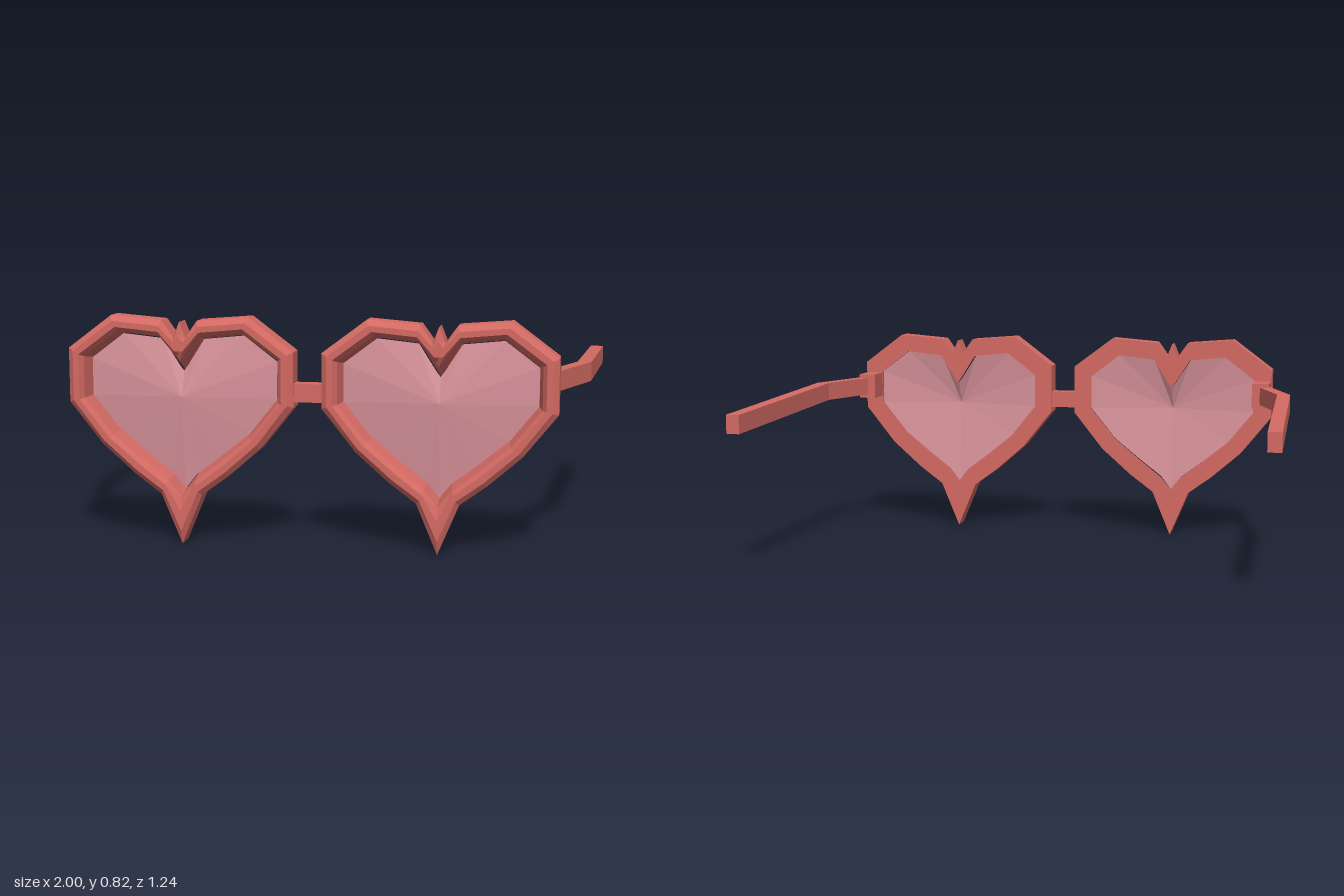
import * as THREE from 'three';

const frameMat = new THREE.MeshStandardMaterial({ color: 0xd46a63 });
frameMat.name = 'coral frame';
const lensMat = new THREE.MeshStandardMaterial({ color: 0xd8929a, side: THREE.DoubleSide });
lensMat.name = 'pink lens';

// Half heart profiles, from the top notch down to the tip
const OUTER = [[0, 0.8], [0.022, 0.745], [0.065, 0.805], [0.25, 0.82], [0.41, 0.7],
  [0.41, 0.505], [0.29, 0.355], [0.17, 0.25], [0.075, 0.18], [0, 0]];
const FACE = [[0, 0.75], [0.018, 0.728], [0.072, 0.785], [0.243, 0.8], [0.39, 0.69],
  [0.39, 0.513], [0.28, 0.37], [0.16, 0.265], [0.063, 0.195], [0, 0.05]];
const INNER = [[0, 0.66], [0.012, 0.675], [0.075, 0.75], [0.225, 0.765], [0.355, 0.67],
  [0.355, 0.52], [0.25, 0.39], [0.14, 0.3], [0.05, 0.23], [0, 0.17]];
const OPENING = [[0, 0.62], [0.015, 0.64], [0.075, 0.735], [0.22, 0.75], [0.338, 0.66],
  [0.338, 0.525], [0.238, 0.4], [0.13, 0.312], [0.042, 0.245], [0, 0.19]];
const LIP = FACE.map(([x, y], i) => [x + (INNER[i][0] - x) * 0.6, y + (INNER[i][1] - y) * 0.6]);

// Whole heart loop at depth z
function heart(half, z) {
  const left = half.slice(1, -1).reverse().map(([x, y]) => [-x, y]);
  return [...half, ...left].map(([x, y]) => [x, y, z]);
}

// Flat-shaded geometry from a list of triangle corners
function faceted(corners) {
  const g = new THREE.BufferGeometry();
  g.setAttribute('position', new THREE.Float32BufferAttribute(corners.flat(), 3));
  g.computeVertexNormals();
  return g;
}

// Skin a series of loops, optionally capping both ends
function skin(loops, capped = false) {
  const c = [];
  const n = loops[0].length;
  for (let i = 0; i < loops.length - 1; i++) {
    for (let j = 0; j < n; j++) {
      const k = (j + 1) % n;
      const [p, q] = [loops[i], loops[i + 1]];
      c.push(p[j], q[j], p[k], q[j], q[k], p[k]);
    }
  }
  if (capped) {
    const a = loops[0], b = loops[loops.length - 1];
    for (let j = 1; j < n - 1; j++) c.push(a[0], a[j], a[j + 1], b[0], b[j + 1], b[j]);
  }
  return faceted(c);
}

function add(parent, name, geometry, material, x = 0, y = 0, z = 0) {
  const m = new THREE.Mesh(geometry, material);
  m.name = name;
  m.position.set(x, y, z);
  parent.add(m);
}

// Rectangular cross-section of a temple arm
function section(x, y, z) {
  const w = 0.025, h = 0.035;
  return [[x + w, y + h, z], [x + w, y - h, z], [x - w, y - h, z], [x - w, y + h, z]];
}

export function createModel() {
  const glasses = new THREE.Group();
  glasses.name = 'heartGlasses';

  // Bevelled rim, running from the back opening around to the front and back in
  const rim = skin([heart(OPENING, 0.53), heart(OUTER, 0.53), heart(OUTER, 0.605),
    heart(FACE, 0.622), heart(LIP, 0.622), heart(INNER, 0.605), heart(OPENING, 0.53)]);

  // Shallow domed lens
  const edge = heart(OPENING.map(([x, y]) => [x * 1.01, y]), 0.55);
  const lens = faceted(edge.flatMap((p, j) => [[0, 0.53, 0.585], edge[(j + 1) % edge.length], p]));

  for (const s of [1, -1]) {
    const side = s > 0 ? 'left' : 'right';
    add(glasses, side + 'Rim', rim, frameMat, 0.46 * s);
    add(glasses, side + 'Lens', lens, lensMat, 0.46 * s);
    add(glasses, side + 'Hinge', new THREE.BoxGeometry(0.068, 0.1, 0.12), frameMat, 0.834 * s, 0.605, 0.488);
    // Temple arm, back to front
    add(glasses, side + 'Arm', skin([section(0.975 * s, 0.57, -0.622),
      section(0.943 * s, 0.605, 0.195), section(0.843 * s, 0.605, 0.465)], true), frameMat);
  }

  // Bridge between the rims
  add(glasses, 'bridge', new THREE.BoxGeometry(0.12, 0.065, 0.055), frameMat, 0, 0.557, 0.572);
  return glasses;
}
